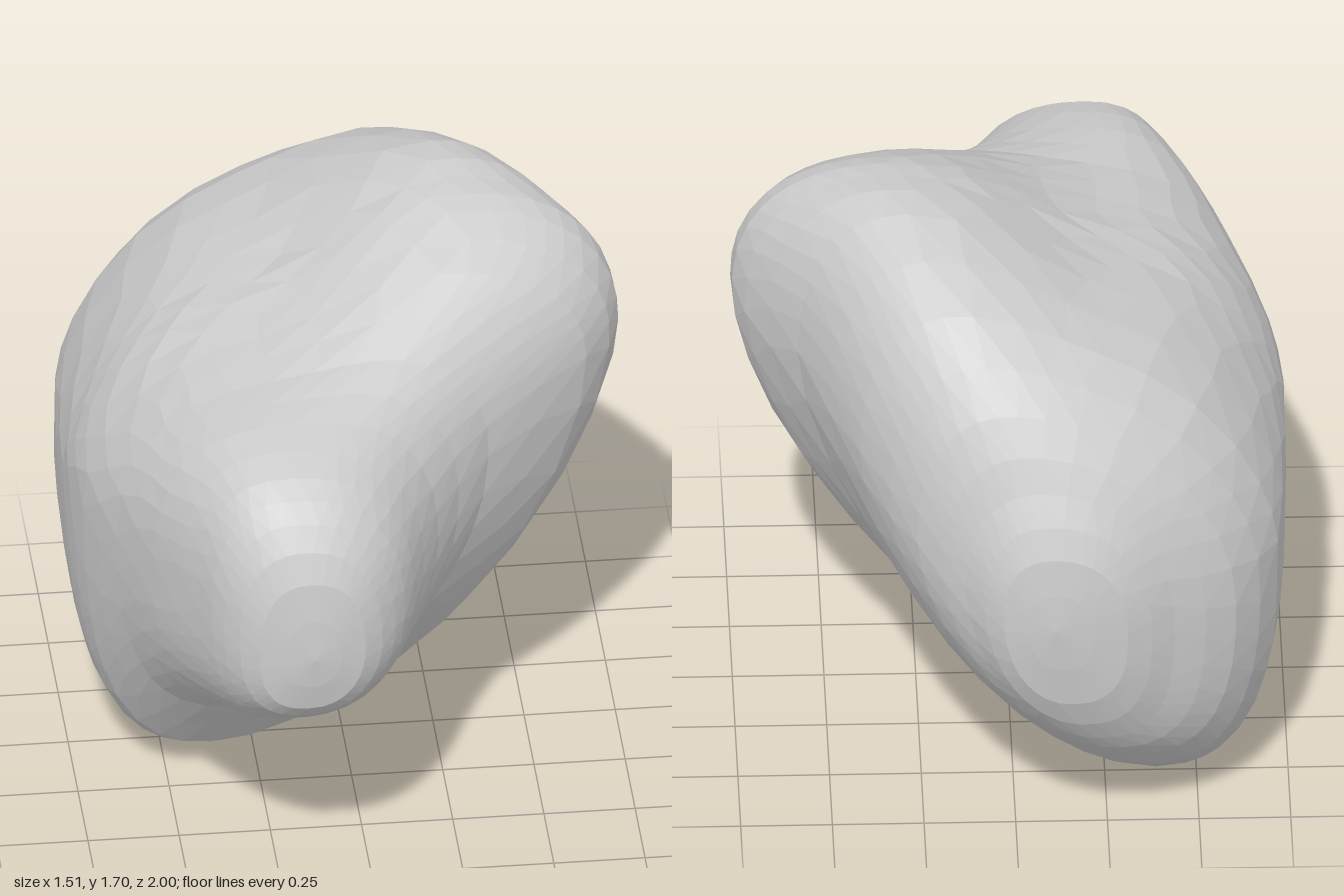
import * as THREE from 'three';

// Cross-sections from back to front:
// z, then x,y of the left, top, right and bottom extremes, then diagonal flatness
const SECTIONS = [
  [-1.0, -0.1, 0.77, -0.1, 0.77, -0.1, 0.77, -0.1, 0.77, 1],
  [-0.975, -0.3, 0.74, -0.1, 0.99, 0.04, 0.8, -0.14, 0.52, 1],
  [-0.9, -0.43, 0.72, -0.08, 1.16, 0.14, 0.85, -0.22, 0.36, 1.1],
  [-0.8, -0.6, 0.73, 0.0, 1.35, 0.27, 0.95, -0.3, 0.24, 1.18],
  [-0.6, -0.72, 0.78, 0.12, 1.55, 0.42, 1.1, -0.36, 0.07, 1.25],
  [-0.3, -0.75, 0.84, 0.26, 1.685, 0.58, 1.22, -0.36, 0.0, 1.3],
  [-0.1, -0.755, 0.87, 0.3, 1.685, 0.72, 1.26, -0.35, 0.0, 1.28],
  [0.03, -0.755, 0.89, 0.3, 1.66, 0.755, 1.28, -0.36, 0.015, 1.25],
  [0.2, -0.73, 0.92, 0.22, 1.575, 0.65, 1.26, -0.37, 0.1, 1.2],
  [0.4, -0.66, 0.94, -0.02, 1.45, 0.36, 1.12, -0.33, 0.34, 1.05],
  [0.6, -0.58, 0.94, -0.18, 1.39, 0.2, 0.98, -0.25, 0.46, 0.95],
  [0.8, -0.48, 0.94, -0.23, 1.33, 0.11, 0.94, -0.22, 0.55, 0.9],
  [0.9, -0.42, 0.92, -0.21, 1.24, 0.05, 0.9, -0.21, 0.62, 0.9],
  [0.975, -0.33, 0.87, -0.19, 1.09, -0.04, 0.87, -0.19, 0.69, 0.95],
  [1.0, -0.18, 0.86, -0.18, 0.86, -0.18, 0.86, -0.18, 0.86, 1],
];
const RINGS = (SECTIONS.length - 1) * 2;
const SIDES = 36;

// Smooth curve through one column of the sections
function rail(toPoint) {
  return new THREE.CatmullRomCurve3(SECTIONS.map(toPoint), false, 'catmullrom', 0.5);
}

// Depth of the hollow between the front lobe and the upper ridge
function hollow(x, z) {
  return 0.11 * Math.exp(-(((x + 0.2) / 0.25) ** 2) - ((z + 0.08) / 0.5) ** 2);
}

function createRockGeometry() {
  // Four rails run over the extremes; the fifth carries the flatness
  const rails = [1, 3, 5, 7].map((k) => rail((s) => new THREE.Vector3(s[k], s[k + 1], s[0])));
  const flatness = rail((s) => new THREE.Vector3(s[9], 0, 0));

  const positions = [];
  for (let i = 0; i <= RINGS; i++) {
    const t = i / RINGS;
    const ext = rails.map((r) => r.getPoint(t));
    const flat = flatness.getPoint(t).x;
    // Upper left and lower right are flattened; the other two corners are full
    const powers = [flat - 0.1, 0.85, flat, 0.75];
    for (let j = 0; j < SIDES; j++) {
      // Staggered, slightly uneven spacing gives irregular facets
      const step = j + (i % 2) * 0.5 + 0.2 * Math.sin(i * 7.3 + j * 13.7);
      const turn = ((step / SIDES) * 4 + 4) % 4;
      const q = Math.floor(turn);
      const a = (turn - q) * Math.PI / 2;
      const [from, to] = [ext[q], ext[(q + 1) % 4]];
      const [h, v] = q % 2 === 0 ? [from, to] : [to, from];
      const [c, s] = q % 2 === 0 ? [Math.cos(a), Math.sin(a)] : [Math.sin(a), Math.cos(a)];
      const x = v.x + (h.x - v.x) * Math.max(c, 0) ** powers[q];
      const y = h.y + (v.y - h.y) * Math.max(s, 0) ** powers[q];
      positions.push(x, q < 2 ? y - s * hollow(x, h.z) : y, h.z);
    }
  }

  const index = [];
  const pole = (n) => n < SIDES || n >= RINGS * SIDES;
  for (let i = 0; i < RINGS; i++) {
    for (let j = 0; j < SIDES; j++) {
      const k = (j + 1) % SIDES;
      const a = i * SIDES + j, a1 = i * SIDES + k;
      const b = a + SIDES, b1 = a1 + SIDES;
      const tris = i % 2 === 0 ? [[a, b, a1], [b, b1, a1]] : [[a, b, b1], [a, b1, a1]];
      for (const tri of tris) {
        // Skip the empty triangles at the two poles
        if (tri.filter(pole).length < 2) index.push(...tri);
      }
    }
  }

  const geometry = new THREE.BufferGeometry();
  geometry.setAttribute('position', new THREE.Float32BufferAttribute(positions, 3));
  geometry.setIndex(index);
  geometry.computeVertexNormals();
  return geometry;
}

export function createModel() {
  const group = new THREE.Group();
  group.name = 'rock';
  const body = new THREE.Mesh(
    createRockGeometry(),
    new THREE.MeshStandardMaterial({ color: 0xcccccc, flatShading: true })
  );
  body.name = 'rockBody';
  group.add(body);
  return group;
}
